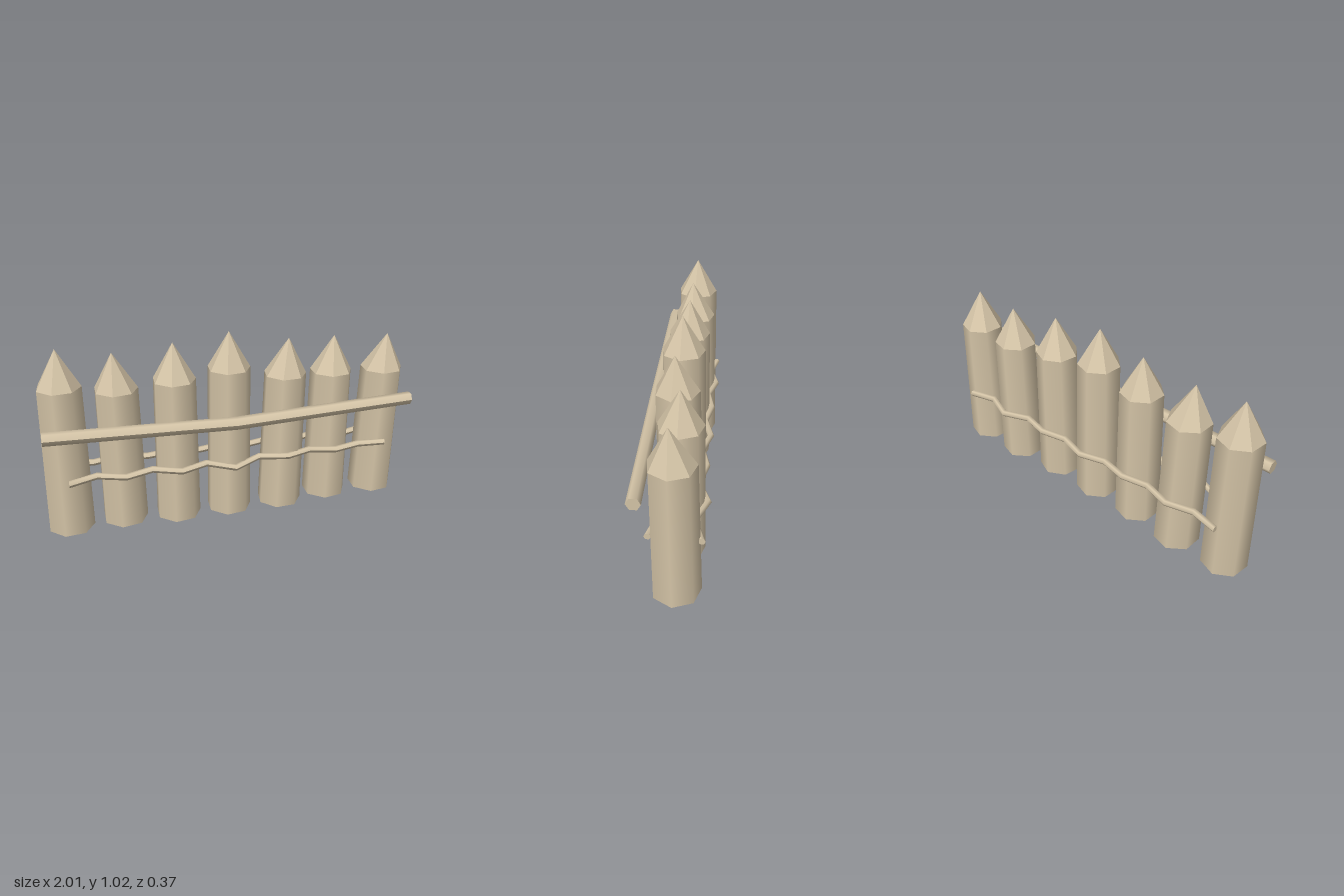
import * as THREE from 'three';

const wood = new THREE.MeshStandardMaterial({ color: 0xd3c3a6 });
wood.name = 'paleWood';

// Moves each vertex of a geometry by a rule
function warp(geometry, rule) {
  const p = geometry.attributes.position;
  const v = new THREE.Vector3();
  for (let i = 0; i < p.count; i++) {
    v.fromBufferAttribute(p, i);
    rule(v);
    p.setXYZ(i, v.x, v.y, v.z);
  }
  return geometry;
}

function part(name, geometry) {
  const mesh = new THREE.Mesh(geometry, wood);
  mesh.name = name;
  return mesh;
}

// Seven-sided post with a sharpened point, leaning slightly towards its tip
function makeStake({ x, z, height, tipX, tipZ, turn }) {
  const stake = new THREE.Group();
  stake.name = 'stake';
  const point = 0.2, start = THREE.MathUtils.degToRad(turn);
  const midX = (tipX - x) * 0.5, midZ = (tipZ - z) * 0.5;

  const body = new THREE.CylinderGeometry(0.116, 0.124, height, 7, 1, false, start);
  body.translate(0, height / 2, 0);
  warp(body, v => {
    v.x += midX * v.y / height;
    v.z += midZ * v.y / height;
  });

  let tip = new THREE.ConeGeometry(0.116, point, 7, 1, true, start);
  tip.translate(0, height + point / 2, 0);
  warp(tip, v => {
    const atApex = v.y > height + point / 2;
    v.x += atApex ? tipX - x : midX;
    v.z += atApex ? tipZ - z : midZ;
  });
  tip = tip.toNonIndexed();
  tip.computeVertexNormals();

  stake.add(part('stakeBody', body), part('stakePoint', tip));
  stake.position.set(x, 0, z);
  return stake;
}

// Six-sided bar running along x through evenly spaced [y, z] stations
function makeBar(name, halfLength, radius, stations) {
  const n = stations.length - 1;
  const bar = new THREE.CylinderGeometry(radius, radius, 2 * halfLength, 6, n);
  bar.rotateZ(-Math.PI / 2);
  warp(bar, v => {
    const [y, z] = stations[Math.round((v.x + halfLength) / (2 * halfLength) * n)];
    v.y += y;
    v.z += z;
  });
  bar.computeVertexNormals();
  return part(name, bar);
}

// Alternates the depths at the stakes with a shared depth in the gaps
function weave(heights, depths, gapDepth) {
  return heights.map((y, i) => [y, i % 2 ? gapDepth : depths[i / 2]]);
}

export function createModel() {
  const fence = new THREE.Group();
  fence.name = 'palisadeFence';

  // Row of stakes: x, z, shoulder height, tip x, tip z, turn in degrees
  const stakes = [
    [-0.885, -0.01, 0.8, -0.89, -0.01, 83],
    [-0.59, -0.025, 0.76, -0.615, 0, 88],
    [-0.297, 0, 0.785, -0.302, -0.005, 86],
    [-0.005, 0, 0.825, -0.007, 0.01, 85],
    [0.293, 0, 0.765, 0.32, 0.02, 80],
    [0.583, -0.033, 0.742, 0.6, -0.03, 87],
    [0.877, -0.033, 0.735, 0.905, -0.005, 85],
  ];
  for (const [x, z, height, tipX, tipZ, turn] of stakes) {
    fence.add(makeStake({ x, z, height, tipX, tipZ, turn }));
  }

  // Thick cross rail in front
  fence.add(makeBar('rail', 0.997, 0.035, [[0.59, 0.138], [0.565, 0.148], [0.597, 0.138]]));

  // Thin bindings woven along both sides
  const frontHeights = [0.315, 0.315, 0.313, 0.313, 0.315, 0.31, 0.296, 0.311, 0.327, 0.315, 0.314, 0.314, 0.324];
  const backHeights = [0.31, 0.31, 0.31, 0.31, 0.31, 0.31, 0.306, 0.31, 0.312, 0.31, 0.308, 0.31, 0.312];
  fence.add(
    makeBar('frontBinding', 0.885, 0.018,
      weave(frontHeights, [0.122, 0.115, 0.132, 0.132, 0.132, 0.1, 0.098], 0.065)),
    makeBar('backBinding', 0.885, 0.018,
      weave(backHeights, [-0.138, -0.148, -0.137, -0.147, -0.142, -0.165, -0.153], -0.108)),
  );
  return fence;
}
